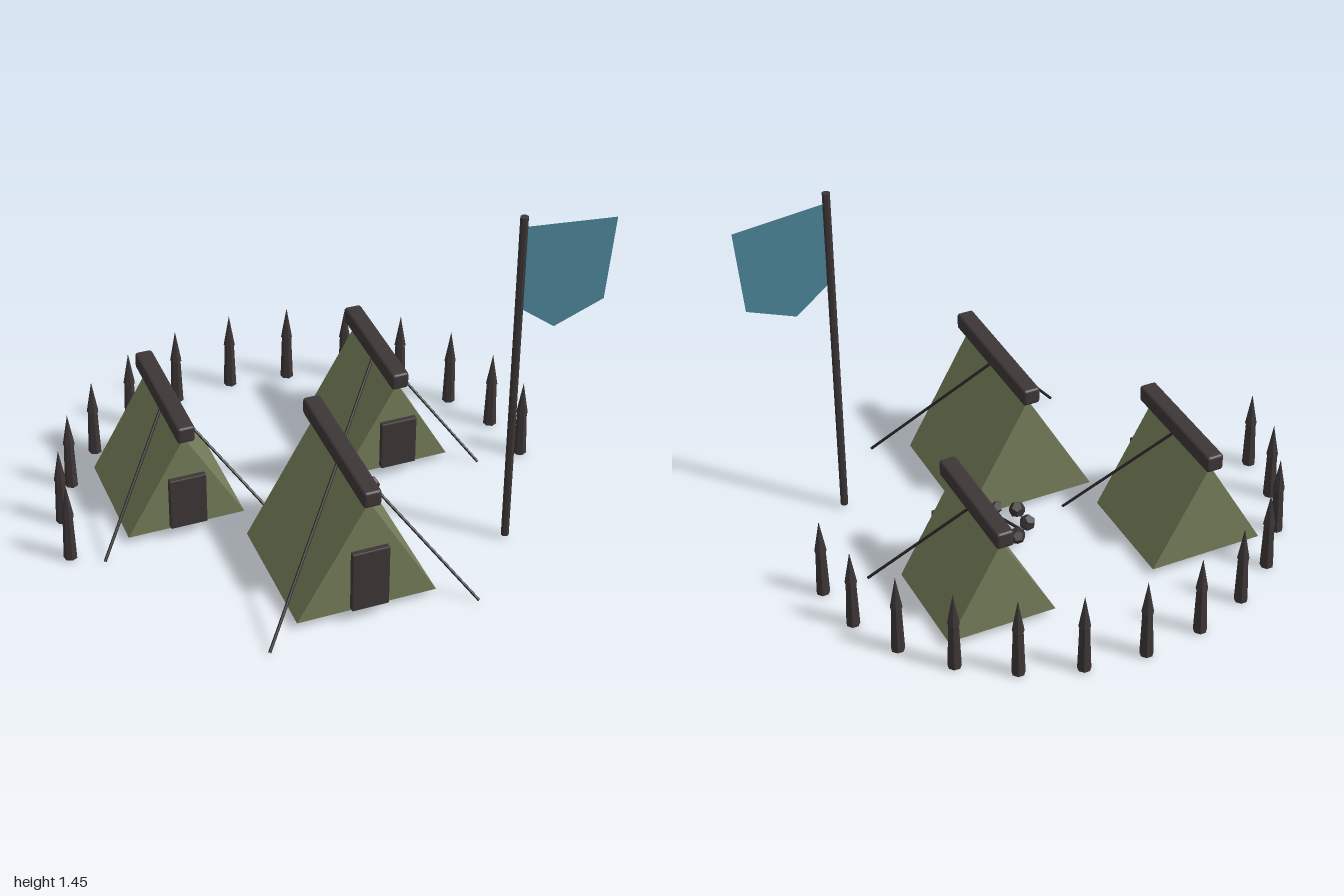
import * as THREE from 'three';
import { RoundedBoxGeometry } from 'three/addons/geometries/RoundedBoxGeometry.js';

const material = (name, color, extra = {}) => {
  const m = new THREE.MeshStandardMaterial({ color, flatShading: true, ...extra });
  m.name = name;
  return m;
};

export function createModel() {
  const canvas = material('olive canvas', 0x767e5a);
  const wood = material('dark wood', 0x3d3637);
  const stone = material('dark stone', 0x383334);
  const rope = material('rope', 0x2b2828);
  const cloth = material('blue cloth', 0x4a8396, { side: THREE.DoubleSide });

  const model = new THREE.Group();
  model.name = 'camp';
  const add = (parent, name, geometry, mat, x = 0, y = 0, z = 0) => {
    const mesh = new THREE.Mesh(geometry, mat);
    mesh.name = name;
    mesh.position.set(x, y, z);
    parent.add(mesh);
    return mesh;
  };

  // Tents: triangular prism, ridge beam, door and two guy ropes
  const base = 0.035;
  function addTent(name, x, z, s) {
    const tent = new THREE.Group();
    tent.name = name;
    tent.position.set(x, 0, z);
    model.add(tent);

    const half = 0.277 * s;
    const ridge = base + 0.49 * s;
    const profile = new THREE.Shape([
      new THREE.Vector2(-half, base),
      new THREE.Vector2(half, base),
      new THREE.Vector2(0, ridge),
    ]);
    const body = new THREE.ExtrudeGeometry(profile, { depth: half * 2, bevelEnabled: false });
    add(tent, 'tentBody', body.translate(0, 0, -half), canvas);

    add(tent, 'ridgeBeam', new RoundedBoxGeometry(0.07, 0.07, half * 2 + 0.075, 2, 0.012),
      wood, 0, ridge + 0.037, 0);

    const doorHeight = 0.267 * s;
    add(tent, 'door', new RoundedBoxGeometry(0.148, doorHeight, 0.025, 1, 0.004),
      wood, 0, 0.057 + doorHeight / 2, half + 0.023);

    for (const side of [-1, 1]) {
      const path = new THREE.LineCurve3(
        new THREE.Vector3(0, ridge + 0.03, 0),
        new THREE.Vector3(side * 0.415 * s, 0.008, 0.363 * s));
      add(tent, side > 0 ? 'leftGuyRope' : 'rightGuyRope',
        new THREE.TubeGeometry(path, 1, 0.006, 6), rope);
    }
  }
  addTent('frontTent', -0.035, 0.463, 1);
  addTent('rightTent', -0.51, -0.185, 0.85);
  addTent('leftTent', 0.388, -0.24, 0.8);

  // Flag pole with a pointed cloth
  add(model, 'flagPole', new THREE.CylinderGeometry(0.016, 0.016, 1.435, 8), wood, 0.627, 0.735, 0.517);
  const flag = new THREE.Shape([
    [0.627, 1.41], [0.627, 1.068], [0.773, 0.953], [0.97, 1.03], [1.0, 1.373],
  ].map(([x, y]) => new THREE.Vector2(x, y)));
  add(model, 'flag', new THREE.ShapeGeometry(flag), cloth, 0, 0, 0.517);

  // Half ring of sharpened stakes around the back
  const shaft = new THREE.CylinderGeometry(0.02, 0.027, 0.2, 7);
  const point = new THREE.ConeGeometry(0.024, 0.14, 7);
  for (let i = -6; i <= 6; i++) {
    const a = i * Math.PI / 12;
    const stake = new THREE.Group();
    stake.name = 'stake';
    stake.position.set(-0.035 + 0.942 * Math.sin(a), 0, 0.048 - 0.861 * Math.cos(a));
    add(stake, 'stakeShaft', shaft, wood, 0, 0.108, 0);
    add(stake, 'stakePoint', point, wood, 0, 0.277, 0);
    model.add(stake);
  }

  // Ring of stones for the fire
  const pebble = new THREE.DodecahedronGeometry(0.034);
  for (let i = 0; i < 7; i++) {
    const a = i * Math.PI * 2 / 7;
    const rock = add(model, 'fireStone', pebble, stone,
      0.137 + 0.107 * Math.cos(a), 0.05, 0.088 + 0.107 * Math.sin(a));
    rock.rotation.y = a;
  }

  return model;
}
